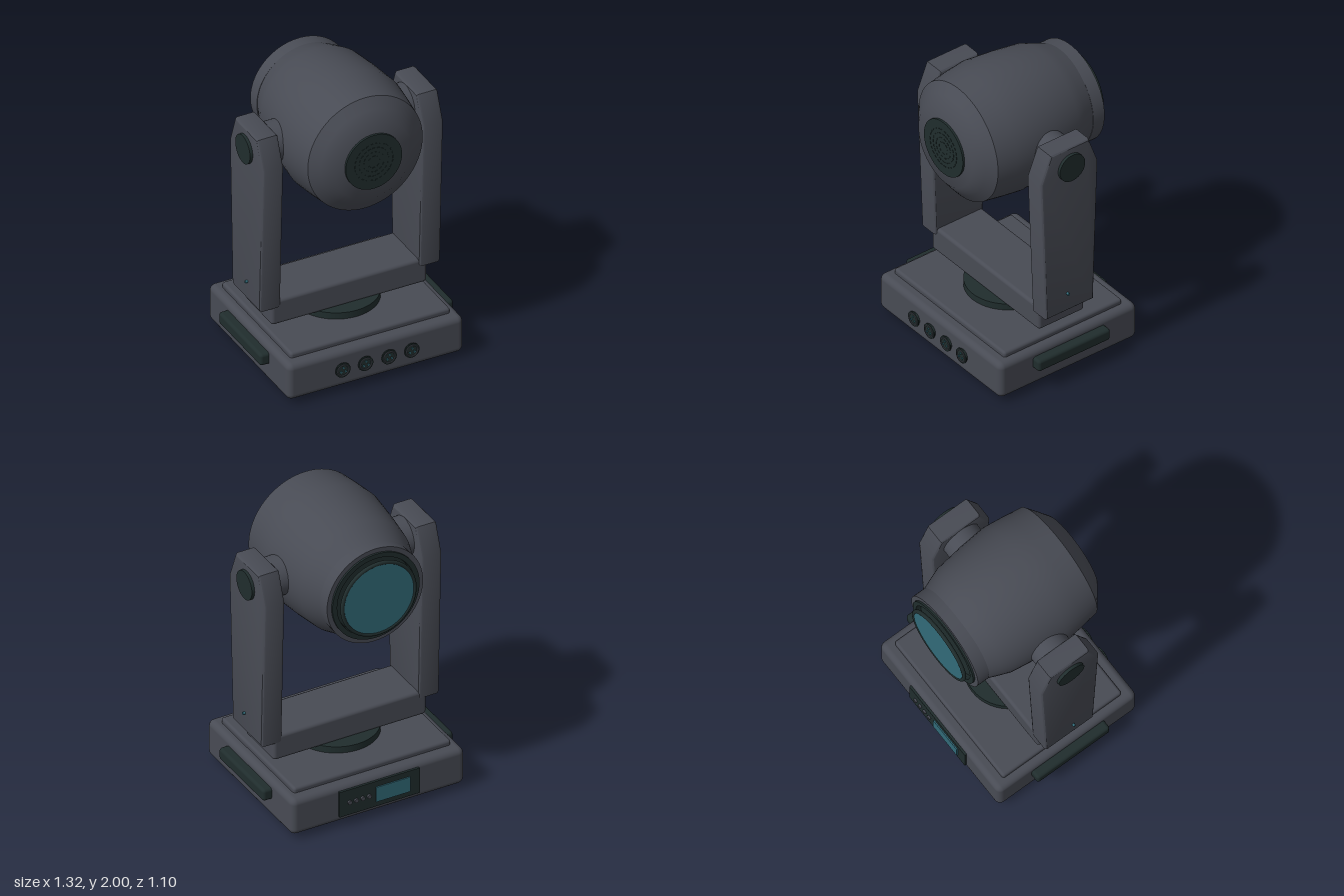
import * as THREE from 'three';
import { toCreasedNormals } from 'three/addons/utils/BufferGeometryUtils.js';
import { RoundedBoxGeometry } from 'three/addons/geometries/RoundedBoxGeometry.js';

const flat = (name, color) => Object.assign(new THREE.MeshStandardMaterial({ color }), { name });

export function createModel() {
  const grey = flat('body grey', 0x484b54);
  const dark = flat('dark trim', 0x202d2d);
  const teal = flat('teal glass', 0x326a78);
  const model = new THREE.Group();
  model.name = 'movingHeadLight';

  const add = (name, geometry, material, x = 0, y = 0, z = 0, parent = model) => {
    const mesh = new THREE.Mesh(geometry, material);
    mesh.name = name;
    mesh.position.set(x, y, z);
    parent.add(mesh);
    return mesh;
  };
  const rbox = (w, h, d, r) => new RoundedBoxGeometry(w, h, d, 3, r);
  const cyl = (r, h, axis = 'y', r2 = r, n = 40) => {
    const g = new THREE.CylinderGeometry(r, r2, h, n);
    if (axis === 'z') g.rotateX(Math.PI / 2);
    if (axis === 'x') g.rotateZ(-Math.PI / 2);
    return g;
  };
  // Lathe around z from [z, radius] pairs, listed back to front
  const latheZ = (pairs, crease) => toCreasedNormals(
    new THREE.LatheGeometry(pairs.map(([z, r]) => new THREE.Vector2(r, z)), 64).rotateX(Math.PI / 2), crease);

  // Base
  add('base', rbox(1.2, 0.255, 1.05, 0.04), grey, 0, 0.163, 0);
  add('baseLid', rbox(1.09, 0.06, 0.9, 0.018), grey, 0, 0.295, 0);
  add('turntable', cyl(0.27, 0.05, 'y', 0.27, 48), dark, 0, 0.345, 0);
  for (const sx of [-1, 1]) {
    for (const sz of [-1, 1]) add('foot', cyl(0.057, 0.045), dark, sx * 0.455, 0.0225, sz * 0.355);
    add('handle', rbox(0.08, 0.082, 0.55, 0.02), dark, sx * 0.62, 0.204, 0);
  }

  // Front sockets with three pins each
  for (const x of [-0.235, -0.08, 0.08, 0.235]) {
    const socket = new THREE.Group();
    socket.name = 'socket';
    socket.position.set(x, 0.165, 0.525);
    model.add(socket);
    add('socketNeck', cyl(0.043, 0.014, 'z'), dark, 0, 0, 0.004, socket);
    add('socketFlange', cyl(0.05, 0.008, 'z'), dark, 0, 0, 0.014, socket);
    add('socketRing', new THREE.TorusGeometry(0.038, 0.004, 8, 32), grey, 0, 0, 0.018, socket);
    for (let i = 0; i < 3; i++) {
      const a = Math.PI / 2 + i * Math.PI * 2 / 3;
      add('pin', cyl(0.006, 0.008, 'z', 0.006, 10), teal, Math.cos(a) * 0.018, Math.sin(a) * 0.018, 0.02, socket);
    }
  }

  // Rear control panel
  add('controlPanel', new THREE.BoxGeometry(0.555, 0.18, 0.016), dark, 0, 0.17, -0.53);
  add('screen', new THREE.BoxGeometry(0.235, 0.105, 0.009), teal, -0.09, 0.168, -0.5415);
  for (let i = 0; i < 4; i++) add('button', cyl(0.014, 0.014, 'z', 0.014, 20), grey, 0.075 + i * 0.045, 0.17, -0.543);

  // Yoke: crossbar and two tapered arms
  add('crossbar', rbox(1.06, 0.175, 0.35, 0.022), grey, 0, 0.4475, 0);
  const b = 0.02;
  const outline = [[-0.16, 0.51], [0.165, 0.51], [0.205, 1.515], [0.135, 1.69], [-0.13, 1.69], [-0.193, 1.515]];
  const armShape = new THREE.Shape(outline.map(([z, y]) => new THREE.Vector2(z, y)));
  const armGeo = new THREE.ExtrudeGeometry(armShape, {
    depth: 0.145 - 2 * b, bevelThickness: b, bevelSize: b, bevelSegments: 3,
  });
  armGeo.translate(0, 0, -(0.145 - 2 * b) / 2).rotateY(-Math.PI / 2);
  const arm = toCreasedNormals(armGeo, 0.5);
  for (const s of [-1, 1]) {
    add('yokeArm', arm, grey, s * 0.545, 0, 0);
    add('tiltHub', cyl(0.128, 0.16, 'x'), grey, s * 0.42, 1.57, 0);
    add('hubCap', cyl(0.096, 0.03, 'x'), dark, s * 0.622, 1.57, 0);
    add('armLamp', cyl(0.009, 0.02, 'x', 0.009, 12), teal, s * 0.624, 0.625, 0.025);
  }

  // Lamp head
  const head = new THREE.Group();
  head.name = 'head';
  head.position.y = 1.57;
  model.add(head);
  const shell = add('headShell', latheZ([
    [-0.4, 0.333], [-0.32, 0.365], [-0.25, 0.391], [-0.07, 0.415], [0.12, 0.432],
    [0.25, 0.417], [0.38, 0.398], [0.43, 0.335], [0.48, 0.268], [0.48, 0],
  ], 0.7), grey, 0, 0, 0, head);
  shell.scale.x = 0.985;
  add('collar', latheZ([
    [-0.45, 0.285], [-0.48, 0.285], [-0.48, 0.333], [-0.395, 0.333], [-0.395, 0.3],
  ], 0.5), grey, 0, 0, 0, head);
  add('lensBezel', latheZ([
    [-0.46, 0], [-0.46, 0.265], [-0.493, 0.27], [-0.493, 0.302], [-0.47, 0.302],
  ], 0.5), dark, 0, 0, 0, head);
  add('lensRing', new THREE.TorusGeometry(0.25, 0.013, 12, 64), dark, 0, 0, -0.522, head);
  add('lens', cyl(0.245, 0.016, 'z', 0.245, 64), teal, 0, 0, -0.522, head);

  // Front vent with rings of short slats
  add('vent', cyl(0.192, 0.016, 'z', 0.192, 48), dark, 0, 0, 0.486, head);
  [0.04, 0.07, 0.1, 0.13].forEach((r, ring) => {
    const count = 8 + ring * 6;
    for (let i = 0; i < count; i++) {
      const a = i / count * Math.PI * 2;
      const slat = add('ventSlat', new THREE.BoxGeometry(0.018, 0.005, 0.004), dark,
        Math.cos(a) * r, Math.sin(a) * r, 0.495, head);
      slat.rotation.z = a + Math.PI / 2;
    }
  });
  return model;
}
